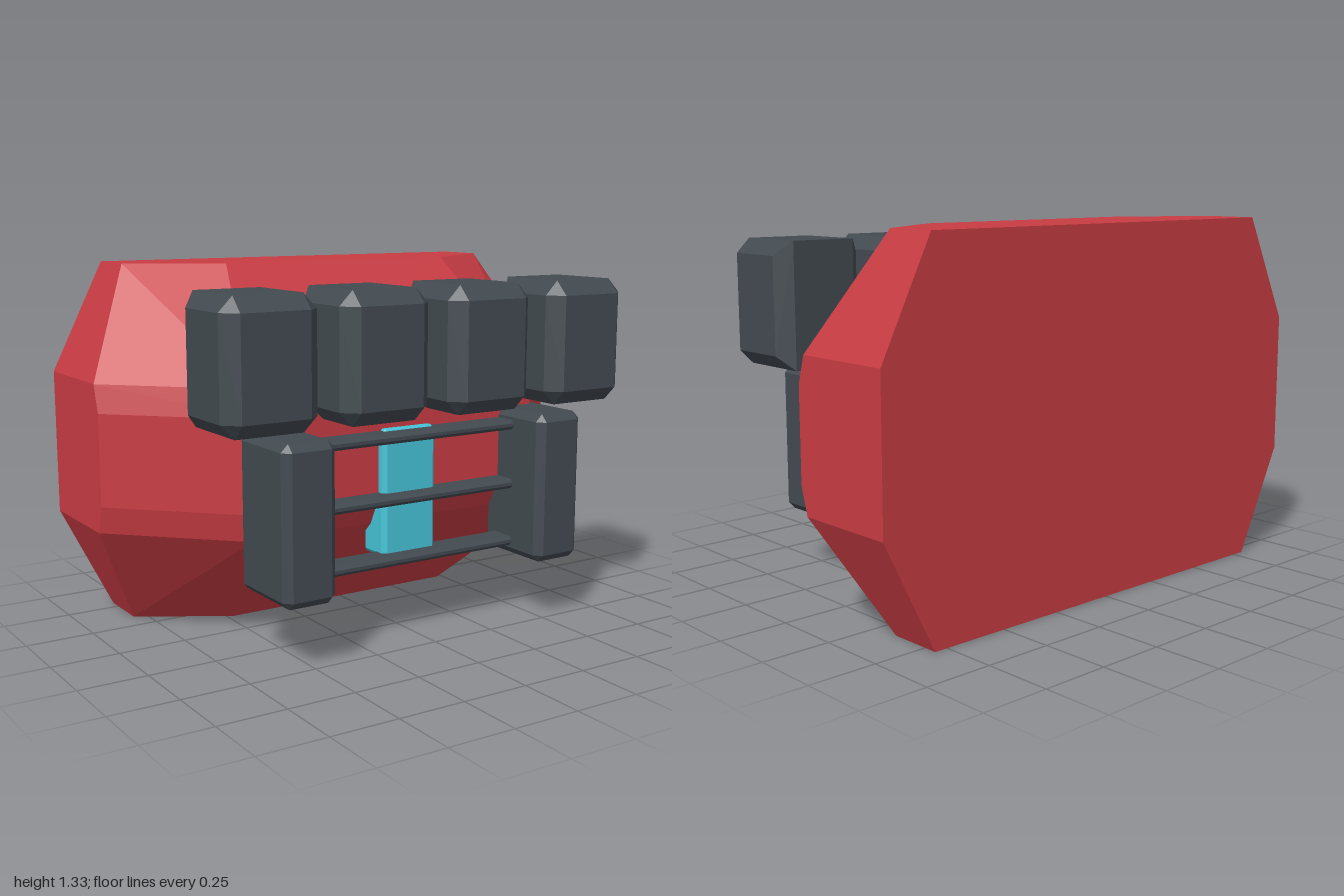
import * as THREE from 'three';
import { ConvexGeometry } from 'three/addons/geometries/ConvexGeometry.js';

const red = new THREE.MeshStandardMaterial({ color: 0xc83c43 });
red.name = 'red shell';
const grey = new THREE.MeshStandardMaterial({ color: 0x424a50 });
grey.name = 'dark grey';
const cyan = new THREE.MeshStandardMaterial({ color: 0x46c4d8 });
cyan.name = 'cyan light';

function hull(name, points, material) {
  const mesh = new THREE.Mesh(new ConvexGeometry(points), material);
  mesh.name = name;
  return mesh;
}

// Box with bevelled edges; the top and bottom run square into the back
function bevelBlock(name, [x0, x1], [y0, y1], [z0, z1], c, material) {
  const w = (x1 - x0) / 2, h = (y1 - y0) / 2, d = (z1 - z0) / 2;
  const points = [];
  for (const sx of [-1, 1]) for (const sy of [-1, 1]) {
    const add = (x, y, z) => points.push(new THREE.Vector3(sx * x, sy * y, z));
    add(w - c, h - c, d);
    add(w, h - c, d - c);
    add(w, h - c, c - d);
    add(w - c, h, d - c);
    add(w - c, h, -d);
  }
  const mesh = hull(name, points, material);
  mesh.position.set((x0 + x1) / 2, (y0 + y1) / 2, (z0 + z1) / 2);
  return mesh;
}

export function createModel() {
  const model = new THREE.Group();
  model.name = 'model';

  // Faceted shell, mirrored left to right and top to bottom
  const mid = 0.666;
  const corner = [
    [0.8, 0.666, -0.55], [1, 0.266, -0.55],
    [0.8, 0.666, -0.35], [0.48, 0.666, -0.15],
    [1, 0.266, -0.15], [0.6, 0.266, 0.25],
    [1, 0.166, -0.12], [0.58, 0.166, 0.3],
  ];
  const shell = [];
  for (const sx of [-1, 1]) for (const sy of [-1, 1])
    for (const [x, y, z] of corner) shell.push(new THREE.Vector3(sx * x, mid + sy * y, z));
  model.add(hull('shell', shell, red));

  // Row of four upper blocks
  for (const x of [-0.66, -0.22, 0.22, 0.66])
    model.add(bevelBlock('upperBlock', [x - 0.178, x + 0.178], [0.815, 1.27], [0.21, 0.545], 0.052, grey));

  // Side posts
  for (const x of [-0.533, 0.533])
    model.add(bevelBlock('sidePost', [x - 0.102, x + 0.102], [0.23, 0.788], [0.22, 0.543], 0.028, grey));

  // Cross bars between the posts
  for (const y of [0.285, 0.507, 0.732])
    model.add(bevelBlock('crossBar', [-0.46, 0.46], [y - 0.018, y + 0.018], [0.29, 0.39], 0.012, grey));

  // Central light strip
  model.add(bevelBlock('lightStrip', [-0.115, 0.115], [0.285, 0.757], [0.2, 0.335], 0.016, cyan));

  return model;
}
